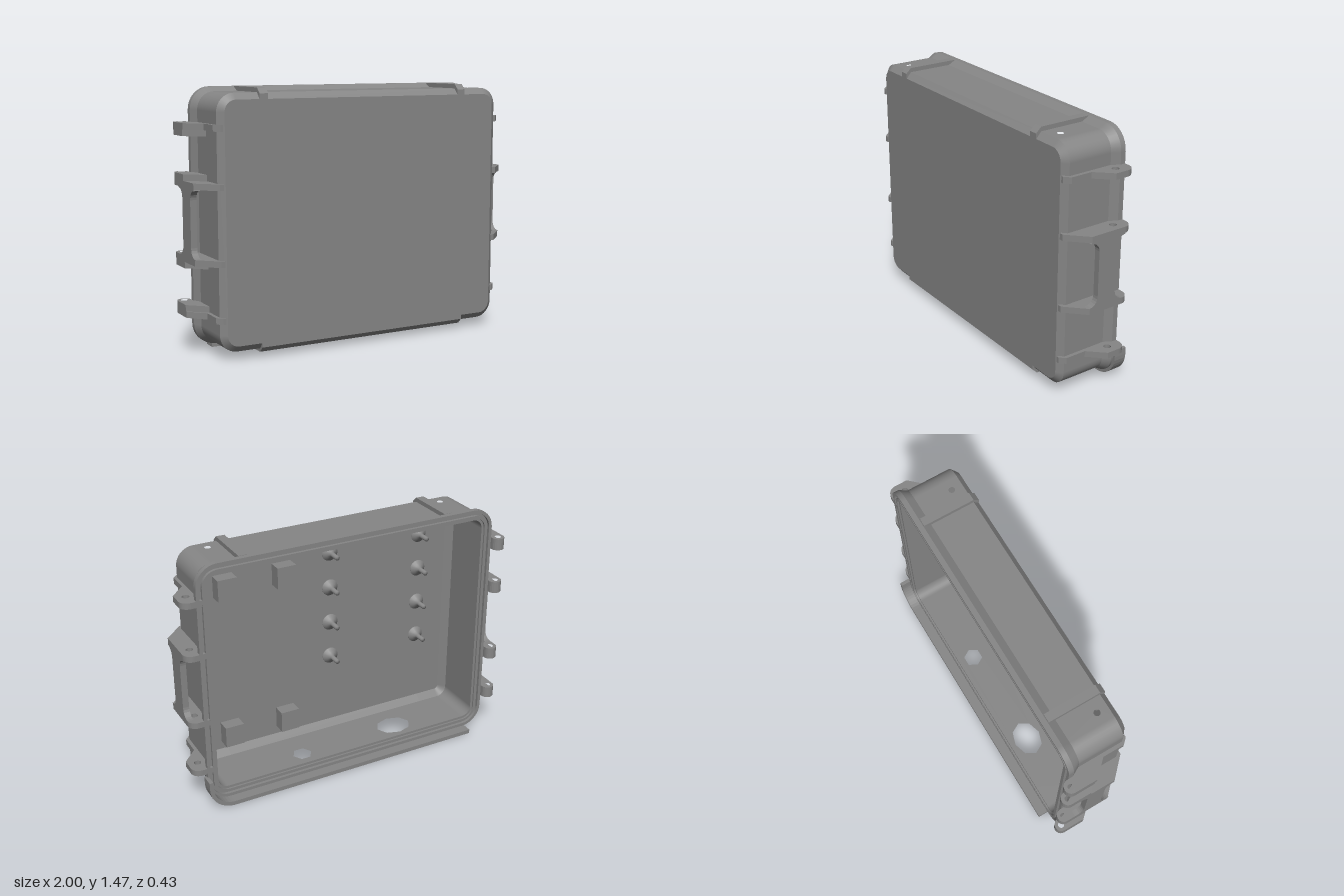
import * as THREE from 'three';

const CX = 0.795, CY = 0.5975, MID = 0.7475, N = 8; // corner centres of the rounded outline

// Rounded rectangle with corner radius r; each point keeps its outward direction.
function outline(r) {
  const pts = [];
  const add = (cx, cy, a) => pts.push({ x: cx + r * Math.cos(a), y: MID + cy + r * Math.sin(a), c: Math.cos(a), s: Math.sin(a) });
  [[1, 1], [-1, 1], [-1, -1], [1, -1]].forEach(([sx, sy], k) => {
    if (k === 3) { add(-0.66, -CY, -Math.PI / 2); add(0.66, -CY, -Math.PI / 2); }
    for (let i = 0; i <= N; i++) add(sx * CX, sy * CY, (k + i / N) * Math.PI / 2);
  });
  return pts;
}
const TOP = N, BOTTOM = 3 * (N + 1); // straight outline segments replaced by drilled plates

// One band of the shell between two [z, r] profile points.
function band([z0, r0], [z1, r1], skip) {
  const a = outline(r0), b = outline(r1), n = a.length, pos = [], nor = [], idx = [];
  const dz = z1 - z0, dr = r1 - r0, l = Math.hypot(dz, dr);
  for (const [ring, z] of [[a, z0], [b, z1]])
    for (const p of ring) { pos.push(p.x, p.y, z); nor.push(-dz / l * p.c, -dz / l * p.s, dr / l); }
  for (let i = 0; i < n; i++) {
    if (skip.includes(i)) continue;
    const j = (i + 1) % n;
    idx.push(i, n + i, j, j, n + i, n + j);
  }
  const g = new THREE.BufferGeometry();
  g.setAttribute('position', new THREE.Float32BufferAttribute(pos, 3));
  g.setAttribute('normal', new THREE.Float32BufferAttribute(nor, 3));
  g.setIndex(idx);
  return g;
}

const arc = (cx, cy, r, a0, a1, n = 10) => Array.from({ length: n + 1 }, (_, i) => {
  const a = a0 + (a1 - a0) * i / n;
  return [cx + r * Math.cos(a), cy + r * Math.sin(a)];
});
const vecs = (pts) => pts.map(([x, y]) => new THREE.Vector2(x, y));
const extrude = (pts, depth, holes = []) => {
  const s = new THREE.Shape(vecs(pts));
  s.holes = holes.map((h) => new THREE.Path(vecs(h)));
  return new THREE.ExtrudeGeometry(s, { depth, bevelEnabled: false });
};
const flip = (pts, sx, sy) => pts.map(([x, y]) => [x * sx, y * sy]);
// Plan outline given as (x, z), raised from y0 to y1.
const alongY = (pts, y0, y1, holes = []) =>
  extrude(flip(pts, 1, -1), y1 - y0, holes.map((h) => flip(h, 1, -1))).rotateX(-Math.PI / 2).translate(0, y0, 0);
// Side outline given as (z, y), swept from x0 to x1.
const alongX = (pts, x0, x1) => extrude(flip(pts, -1, 1), x1 - x0).rotateY(Math.PI / 2).translate(x0, 0, 0);
const circle = (x, z, r, n = 16) => arc(x, z, r, 0, Math.PI * 2 * (1 - 1 / n), n - 1);
const rect = (x, z0, z1) => [[-x, z0], [x, z0], [x, z1], [-x, z1]];

export function createModel() {
  const model = new THREE.Group();
  model.name = 'equipmentCaseShell';
  const grey = new THREE.MeshStandardMaterial({ color: 0x868686 });
  grey.name = 'grey';
  const part = (name, geo, parent = model) => {
    const m = new THREE.Mesh(geo, grey);
    m.name = name;
    parent.add(m);
    return m;
  };

  // Open shell: chamfered front, flared flange, grooved rim, inner walls
  const shell = new THREE.Group();
  shell.name = 'shell';
  model.add(shell);
  const profile = [[0.215, 0.065], [0.185, 0.1], [-0.08, 0.1], [-0.125, 0.125], [-0.155, 0.125],
    [-0.155, 0.106], [-0.138, 0.106], [-0.138, 0.09], [-0.155, 0.09], [-0.155, 0.075], [-0.145, 0.075],
    [-0.145, 0.06], [-0.13, 0.06], [0.14, 0.06], [0.18, 0.025]];
  const skips = { 1: [TOP, BOTTOM], 2: [BOTTOM], 12: [TOP, BOTTOM] };
  for (let i = 0; i < profile.length - 1; i++) part('shellBand', band(profile[i], profile[i + 1], skips[i] || []), shell);
  const panel = (r) => new THREE.ShapeGeometry(new THREE.Shape(outline(r).map((p) => new THREE.Vector2(p.x, p.y))));
  part('frontPanel', panel(0.065), shell).position.z = 0.215;
  part('innerPanel', panel(0.025).rotateY(Math.PI), shell).position.z = 0.18;

  // Drilled top and bottom walls
  part('topWall', alongY(rect(CX, -0.13, 0.185), 1.405, 1.445, [circle(-0.735, 0.12, 0.018), circle(0.735, 0.12, 0.018)]));
  const port = circle(0, 0, 1, 8).map(([x, z]) => [-0.36 + x * 0.11, -0.03 + z * 0.085]);
  part('bottomWall', alongY(rect(0.66, -0.135, 0.185), 0.03, 0.09, [circle(0.28, -0.05, 0.058, 6), port]));
  part('bottomPadNose', alongX([[0.185, 0.03], [0.215, 0.06], [0.215, 0.085], [0.185, 0.09]], -0.66, 0.66));

  // Raised straps over the top edge
  for (const x of [-0.66, 0.61])
    part('topStrap', alongX([[-0.12, 1.43], [-0.12, 1.47], [0.185, 1.47], [0.217, 1.44], [0.217, 1.41], [0.19, 1.415]], x, x + 0.05));

  // Drip guard under the opening, curling up one corner
  part('bottomGuard', extrude([[-0.81, 0], ...arc(0.785, 0.15, 0.15, -Math.PI / 2, 0), [0.935, 0.19], [0.913, 0.19],
    ...arc(0.788, 0.15, 0.125, 0, -Math.PI / 2), [-0.81, 0.025]], 0.077).translate(0, 0, -0.215));

  // Side ribs: slim outer pair, deep inner pair carrying the handle
  const ribYs = [0.215, 0.525, 0.935, 1.245];
  const slim = [[0.87, 0.216], [0.885, 0.216], [0.915, 0.185], [0.915, 0.06], [1, -0.03]];
  const deep = [[0.87, 0.216], [0.893, 0.216], [1, 0.11]];
  const latchEnd = [...arc(0.95, -0.105, 0.05, 0, -Math.PI / 2), [0.87, -0.154]];
  const hingeEnd = [...arc(0.961, -0.163, 0.039, 0, -Math.PI), [0.922, -0.13], [0.87, -0.13]];
  ribYs.forEach((y, i) => {
    const front = i === 0 || i === 3 ? slim : deep;
    part('leftRib', alongY([...front, ...latchEnd], y, y + 0.035, [circle(0.945, -0.07, 0.02)]));
    part('rightRib', alongY(flip([...front, ...hingeEnd], -1, 1), y, y + 0.035, [circle(-0.961, -0.163, 0.02)]));
    // Hinge knuckle, thicker than its rib
    const y0 = [0.25, 0.49, 0.97, 1.21][i];
    const knuckle = [[0.9, 0.055], [1, -0.04], ...hingeEnd.slice(0, -1), [0.9, -0.1]];
    part('hingeKnuckle', alongY(flip(knuckle, -1, 1), y0, y0 + 0.035, [circle(-0.961, -0.163, 0.02)]));
  });

  // Handles: upright bars with filleted ends between the inner ribs
  const f = 0.055, h = Math.PI / 2;
  const bar = [[0.11, 0.935], ...arc(0.06 + f, 0.93 - f, f, h, 2 * h, 6), ...arc(0.06 + f, 0.56 + f, f, 2 * h, 3 * h, 6),
    [0.11, 0.555], [-0.11, 0.555], ...arc(-0.055 - f, 0.56 + f, f, -h, 0, 6), ...arc(-0.055 - f, 0.93 - f, f, 0, h, 6), [-0.11, 0.935]];
  part('leftHandle', alongX(bar, 0.965, 1));
  part('rightHandle', alongX(bar, -1, -0.965));

  // Inside: mounting blocks and conical studs on the front wall
  for (const x of [0.28, 0.64]) for (const y of [0.24, 1.18])
    part('mountingBlock', new THREE.BoxGeometry(0.115, 0.13, 0.08)).position.set(x, y, 0.142);
  const stud = new THREE.LatheGeometry(vecs([[0.05, 0], [0.05, 0.006], [0.03, 0.022], [0.014, 0.04], [0.014, 0.1], [0, 0.1]]), 16).rotateX(-Math.PI / 2);
  for (const x of [-0.03, -0.63]) for (const y of [0.57, 0.795, 1.02, 1.24])
    part('stud', stud).position.set(x, y, 0.181);

  return model;
}
